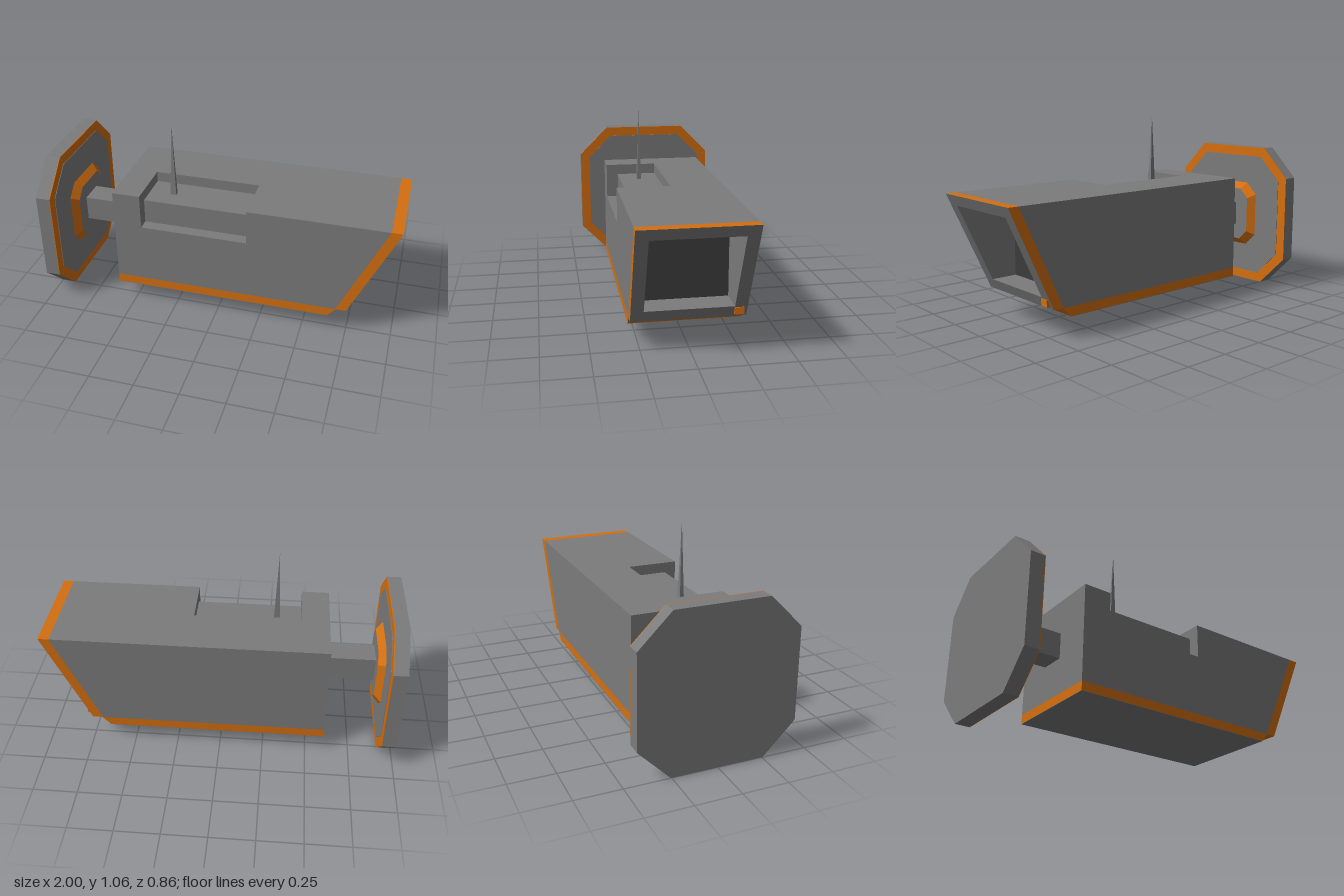
import * as THREE from 'three';

export function createModel() {
  const model = new THREE.Group();
  const mat = (name, color) => {
    const m = new THREE.MeshStandardMaterial({ color });
    m.name = name;
    return m;
  };
  const grey = mat('casing grey', 0x7b7b7b);
  const orange = mat('trim orange', 0xd46f10);
  const dark = mat('lens dark grey', 0x3c3c3c);

  const add = (name, geometry, material) => {
    const mesh = new THREE.Mesh(geometry, material);
    mesh.name = name;
    model.add(mesh);
    return mesh;
  };
  // Box given by its limits on each axis
  const box = (name, x0, x1, y0, y1, z0, z1, material) => {
    const g = new THREE.BoxGeometry(x1 - x0, y1 - y0, z1 - z0);
    g.translate((x0 + x1) / 2, (y0 + y1) / 2, (z0 + z1) / 2);
    return add(name, g, material);
  };
  // Extrude a z-y outline along x; rule(x at 0..1, vertex) places each vertex
  const sweep = (name, shape, rule, material) => {
    const g = new THREE.ExtrudeGeometry(shape, { depth: 1, bevelEnabled: false });
    g.rotateY(Math.PI / 2);
    const p = g.attributes.position;
    const v = new THREE.Vector3();
    for (let i = 0; i < p.count; i++) {
      v.fromBufferAttribute(p, i);
      rule(v);
      p.setXYZ(i, v.x, v.y, v.z);
    }
    g.computeVertexNormals();
    return add(name, g, material);
  };
  const poly = (points) => points.map(([a, b]) => new THREE.Vector2(a, b));
  // Octagon centred on the mount axis: half width w, half height h, chamfer c
  const MID = 0.432;
  const octagon = (w, h, c) => new THREE.Shape(poly([
    [-w + c, -h], [w - c, -h], [w, -h + c], [w, h - c],
    [w - c, h], [-w + c, h], [-w, h - c], [-w, -h + c],
  ].map(([a, b]) => [a, b + MID])));
  const slab = (x0, x1) => (v) => { v.x = v.x < 0.5 ? x0 : x1; };

  // Wall plate with an orange border
  sweep('wallPlate', octagon(0.431, 0.431, 0.177), slab(-1, -0.921), grey);
  sweep('wallPlateBorder', octagon(0.431, 0.431, 0.177), slab(-0.921, -0.917), orange);
  sweep('wallPlateFace', octagon(0.374, 0.374, 0.144), slab(-0.917, -0.914), grey);

  // Raised boss with an orange bevel, and the arm
  sweep('mountBoss', octagon(0.2, 0.202, 0.07), (v) => {
    const k = v.x < 0.5 ? 1 : 0.81;
    v.set(v.x < 0.5 ? -0.915 : -0.875, MID + (v.y - MID) * k, v.z * k);
  }, [grey, orange]);
  box('mountArm', -0.88, -0.6, 0.36, 0.505, -0.073, 0.073, grey);

  // Casing, with a stepped notch in its upper left edge
  const LOW = 0.155, TOP = 0.705, W = 0.298, BACK = 0.62;
  box('casingRear', -0.6, -0.44, LOW, TOP, -W, W, grey);
  box('casingNotchBack', -0.44, 0.17, LOW, TOP, -W, 0, grey);
  box('casingNotchFloor', -0.44, 0.17, LOW, 0.645, 0, 0.23, grey);
  box('casingNotchLedge', -0.44, 0.17, LOW, 0.505, 0.23, W, grey);
  box('casingMiddle', 0.17, BACK, LOW, TOP, -W, W, grey);

  // Slanted hood around the lens recess
  const slant = (y) => 0.745 + (y - LOW) * (0.255 / (TOP - LOW));
  const rect = (w, y0, y1) => poly([[-w, y0], [w, y0], [w, y1], [-w, y1]]);
  const ring = (outer, inner) => {
    const s = new THREE.Shape(outer);
    s.holes.push(new THREE.Path(inner));
    return s;
  };
  const outer = rect(W, LOW, TOP);
  const skin = rect(W - 0.01, LOW + 0.01, TOP - 0.01);
  const opening = rect(0.232, 0.216, 0.645);
  const lip = (v) => { v.x = slant(v.y) - (v.x < 0.5 ? 0.06 : 0); };
  sweep('hood', ring(outer, opening), (v) => {
    v.x = v.x < 0.5 ? BACK : slant(v.y) - 0.06;
  }, grey);
  sweep('hoodTrim', ring(outer, skin), lip, [grey, orange]);
  sweep('hoodFrame', ring(skin, opening), lip, grey);
  box('lensPane', BACK, BACK + 0.004, 0.216, 0.645, -0.232, 0.232, dark);

  // Orange base strip with a grey underside
  const base = new THREE.ExtrudeGeometry(
    new THREE.Shape(poly([[-0.6, 0.104], [0.642, 0.104], [0.69, LOW], [-0.6, LOW]])),
    { depth: 2 * W, bevelEnabled: false });
  base.translate(0, 0, -W);
  add('baseStrip', base, orange);
  box('underside', -0.6, 0.641, 0.102, 0.104, -W, W, grey);

  // Small indicator on the front frame
  box('indicator', 0.745, 0.776, 0.172, 0.21, -0.28, -0.232, orange);

  // Antenna standing in the notch
  const spike = new THREE.CylinderGeometry(0.001, 0.0212, 0.417, 4, 1);
  spike.rotateY(Math.PI / 4);
  spike.scale(1.15, 1, 0.8);
  const antenna = add('antenna', spike.toNonIndexed(), grey);
  antenna.geometry.computeVertexNormals();
  antenna.position.set(-0.3, 0.645 + 0.2085, 0.115);

  return model;
}
